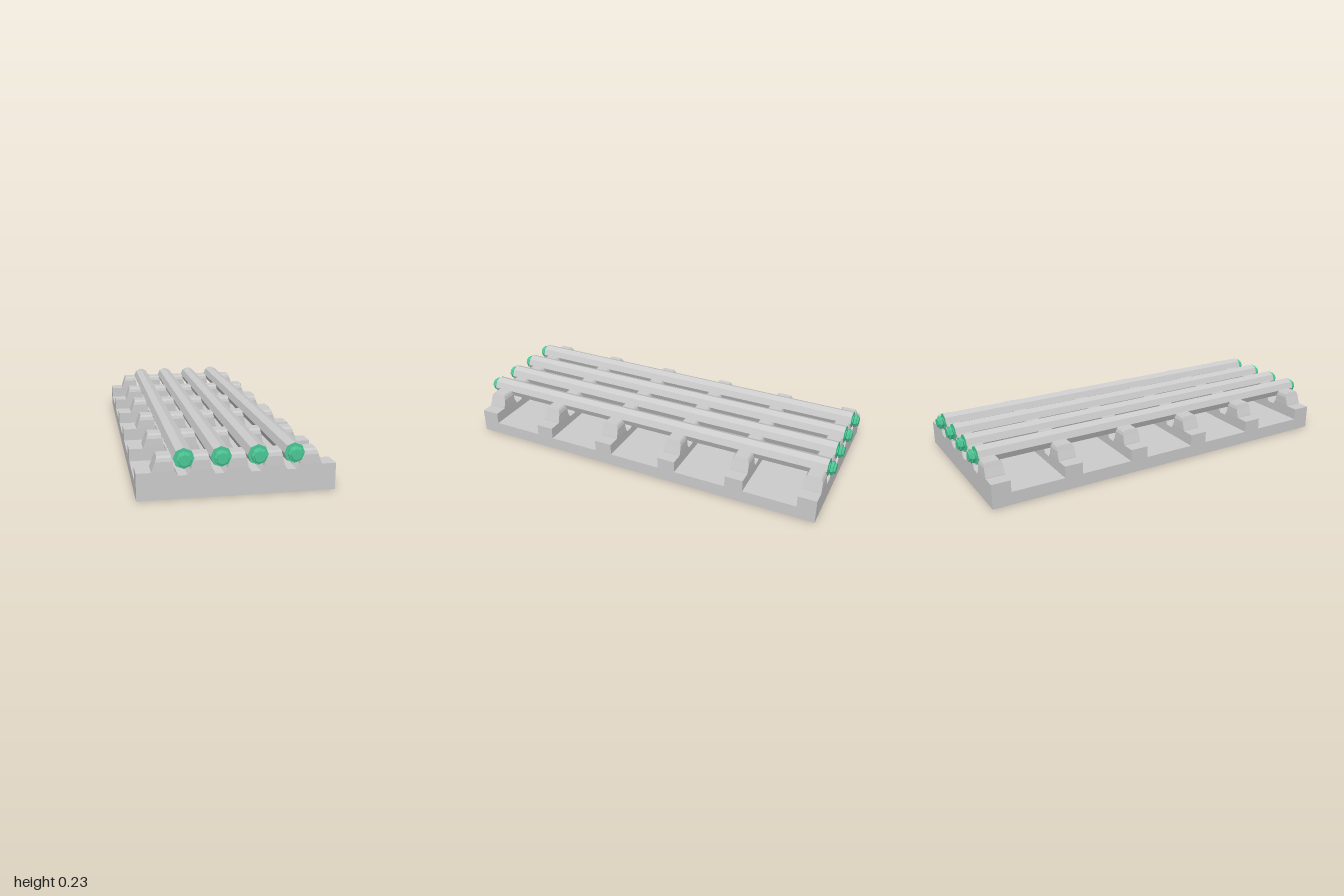
import * as THREE from 'three';

const PITCH = 0.161, AXIS_Y = 0.188;
const rodX = [-1.5, -0.5, 0.5, 1.5].map(k => k * PITCH);

// Levels of a tooth: height, notch half width, half depth in z, outer slope x
const LEVELS = [
  [0.105, 0.020, 0.0465, 0.378],
  [0.127, 0.035, 0.0465, 0.374],
  [0.168, 0.043, 0.0450, 0.360],
  [0.184, 0.047, 0.0400, 0.355],
  [0.193, 0.048, 0.0330, 0.352],
];

// Box whose rows follow the levels; index 0..4 counts teeth from -x to +x
function toothGeometry(index) {
  const n = LEVELS.length - 1;
  const geo = new THREE.BoxGeometry(1, 1, 1, 1, n, 1);
  const p = geo.attributes.position;
  for (let i = 0; i < p.count; i++) {
    const [y, notch, hz, outer] = LEVELS[Math.round((p.getY(i) + 0.5) * n)];
    const left = index === 0 ? -outer : rodX[index - 1] + notch;
    const right = index === 4 ? outer : rodX[index] - notch;
    p.setXYZ(i, p.getX(i) < 0 ? left : right, y, Math.sign(p.getZ(i)) * hz);
  }
  geo.computeVertexNormals();
  return geo;
}

export function createModel() {
  const grey = new THREE.MeshStandardMaterial({ color: 0xcccccc, flatShading: true });
  const green = new THREE.MeshStandardMaterial({ color: 0x4cc896, flatShading: true });
  const model = new THREE.Group();
  model.name = 'rodRack';

  const add = (parent, name, geo, mat, x = 0, y = 0, z = 0) => {
    const mesh = new THREE.Mesh(geo, mat);
    mesh.name = name;
    mesh.position.set(x, y, z);
    parent.add(mesh);
    return mesh;
  };

  // Base plate
  add(model, 'basePlate', new THREE.BoxGeometry(0.884, 0.064, 1.91), grey, 0, 0.032, -0.015);

  // Six cross ribs with raised shoulders and five teeth
  const barGeo = new THREE.BoxGeometry(0.884, 0.041, 0.093);
  const shoulderGeo = new THREE.BoxGeometry(0.069, 0.018, 0.093);
  const teeth = [0, 1, 2, 3, 4].map(toothGeometry);
  for (let r = 0; r < 6; r++) {
    const rib = new THREE.Group();
    rib.name = 'rib';
    rib.position.z = -0.9235 + r * 0.3634;
    add(rib, 'ribBar', barGeo, grey, 0, 0.0845);
    for (const s of [-1, 1]) add(rib, 'ribShoulder', shoulderGeo, grey, s * 0.4075, 0.114);
    teeth.forEach(geo => add(rib, 'ribTooth', geo, grey));
    model.add(rib);
  }

  // Octagonal rods with a turned green fitting at each end
  const rodGeo = new THREE.CylinderGeometry(0.046, 0.046, 1.93, 8, 1, true).rotateX(Math.PI / 2);
  const profile = [
    [0.046, 0.965], [0.046, 0.967], [0.024, 0.967], [0.024, 0.972], [0.035, 0.977],
    [0.035, 0.988], [0.025, 0.992], [0.025, 1], [0, 1],
  ].map(([x, y]) => new THREE.Vector2(x, y));
  const fittingGeo = new THREE.LatheGeometry(profile, 8).rotateX(Math.PI / 2);
  for (const x of rodX) {
    add(model, 'rod', rodGeo, grey, x, AXIS_Y);
    add(model, 'frontFitting', fittingGeo, green, x, AXIS_Y);
    add(model, 'backFitting', fittingGeo, green, x, AXIS_Y).rotation.y = Math.PI;
  }
  return model;
}
